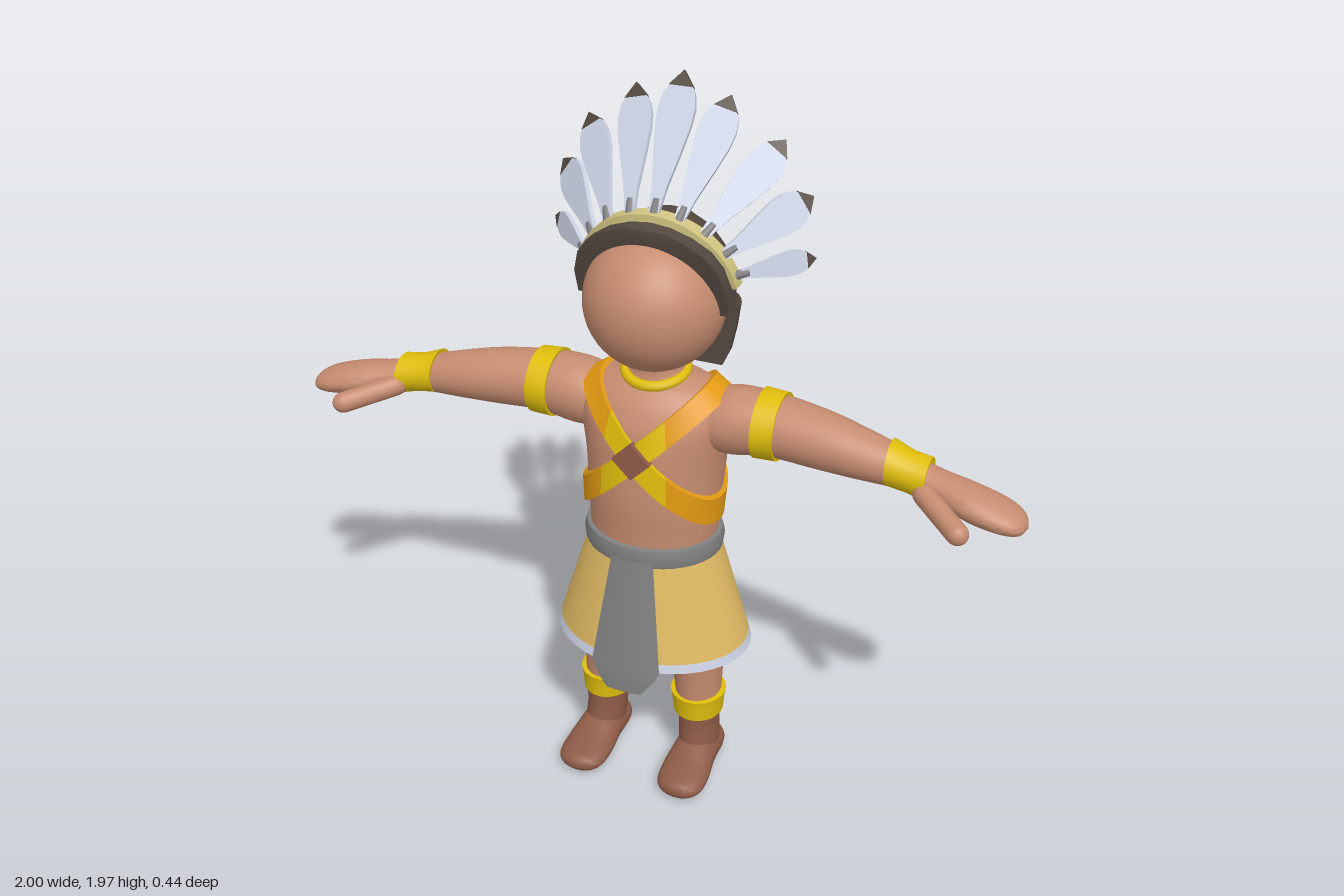
import * as THREE from 'three';
import { toCreasedNormals } from 'three/addons/utils/BufferGeometryUtils.js';

const mat = (name, color, side = THREE.FrontSide) => {
  const m = new THREE.MeshStandardMaterial({ color, side });
  m.name = name;
  return m;
};

// Skin a list of point rings; triangle order is set by the signed volume
function skin(rings, caps = true, crease = 0.8) {
  const n = rings[0].length, pos = [], idx = [];
  rings.forEach(r => r.forEach(p => pos.push(...p)));
  for (let i = 0; i < rings.length - 1; i++) for (let j = 0; j < n; j++) {
    const a = i * n + j, b = i * n + (j + 1) % n;
    idx.push(a, b, a + n, b, b + n, a + n);
  }
  if (caps) [0, rings.length - 1].forEach((ri, end) => {
    const c = pos.length / 3;
    pos.push(...[0, 1, 2].map(k => rings[ri].reduce((s, p) => s + p[k], 0) / n));
    for (let j = 0; j < n; j++) {
      const a = ri * n + j, b = ri * n + (j + 1) % n;
      end ? idx.push(a, b, c) : idx.push(b, a, c);
    }
  });
  const v = i => new THREE.Vector3(pos[i * 3], pos[i * 3 + 1], pos[i * 3 + 2]);
  let vol = 0;
  for (let i = 0; i < idx.length; i += 3) vol += v(idx[i]).dot(v(idx[i + 1]).cross(v(idx[i + 2])));
  if (vol < 0) idx.reverse();
  const g = new THREE.BufferGeometry();
  g.setAttribute('position', new THREE.Float32BufferAttribute(pos, 3));
  g.setIndex(idx);
  return toCreasedNormals(g, crease);
}

// Smooth the rows of a section table with a Catmull-Rom rule
function smooth(rows, steps = 4) {
  const out = [], last = rows.length - 1;
  for (let i = 0; i < last; i++) for (let s = 0; s < steps; s++) {
    const t = s / steps, [p, q, r, w] = [rows[Math.max(i - 1, 0)], rows[i], rows[i + 1], rows[Math.min(i + 2, last)]];
    out.push(q.map((_, k) => 0.5 * (2 * q[k] + (r[k] - p[k]) * t + (2 * p[k] - 5 * q[k] + 4 * r[k] - w[k]) * t * t
      + (3 * q[k] - p[k] - 3 * r[k] + w[k]) * t * t * t)));
  }
  out.push(rows[last]);
  return out;
}

// Elliptic loft; a row is [position on axis, centre a, radius a, centre b, radius b]
function loft(axis, rows, side = 1, caps = true, n = 28) {
  return skin(rows.map(([t, a, ra, b, rb]) => Array.from({ length: n }, (_, j) => {
    const th = j / n * Math.PI * 2, u = a + Math.max(ra, 0) * Math.cos(th), v = b + Math.max(rb, 0) * Math.sin(th);
    const p = axis === 'x' ? [t, u, v] : axis === 'y' ? [u, t, v] : [u, v, t];
    return [p[0] * side, p[1], p[2]];
  })), caps);
}

export function createModel() {
  const root = new THREE.Group();
  root.name = 'figure';
  const skinM = mat('skin', 0xc68c70), boot = mat('bootBrown', 0x8f5c48), gold = mat('gold', 0xdfbd0c),
    orange = mat('orange', 0xe39a12), cloth = mat('tanCloth', 0xe0bb64, THREE.DoubleSide),
    grey = mat('grey', 0x808080, THREE.DoubleSide), white = mat('paleBlue', 0xcbd1e3, THREE.DoubleSide),
    dark = mat('darkBrown', 0x544940), cream = mat('cream', 0xd3c683);
  const add = (name, geo, m, parent = root) => {
    const mesh = new THREE.Mesh(geo, m);
    mesh.name = name;
    parent.add(mesh);
    return mesh;
  };

  // Torso and neck
  const body = smooth([
    [0.70, 0, 0.17, 0, 0.145], [0.8, 0, 0.178, -0.005, 0.15], [0.9, 0, 0.184, -0.012, 0.163],
    [1.0, 0, 0.191, -0.02, 0.166], [1.08, 0, 0.205, -0.025, 0.162], [1.13, 0, 0.21, -0.025, 0.15],
    [1.18, 0, 0.195, -0.025, 0.125], [1.215, 0, 0.15, -0.025, 0.095], [1.24, 0, 0.085, -0.02, 0.068],
    [1.32, 0, 0.07, -0.015, 0.065]]);
  add('torso', loft('y', body, 1, true, 40), skinM);

  // Crossed chest straps, each a slanted loop laid on the torso
  const inside = (x, y, z) => {
    const i = body.findIndex(r => r[0] > y);
    if (i < 1) return false;
    const t = (y - body[i - 1][0]) / (body[i][0] - body[i - 1][0]);
    const [, , rx, zc, rz] = body[i].map((v, k) => v * t + body[i - 1][k] * (1 - t));
    return (x / rx) ** 2 + ((z - zc) / rz) ** 2 < 1;
  };
  const onBody = (th, slope, off, lift) => {
    const at = r => [r * Math.cos(th), 1.05 + off + slope * r * Math.cos(th), -0.022 + r * Math.sin(th)];
    let lo = 0, hi = 0.4;
    for (let k = 0; k < 30; k++) {
      const mid = (lo + hi) / 2;
      inside(...at(mid)) ? lo = mid : hi = mid;
    }
    return at(lo + lift);
  };
  [1, -1].forEach(s => [[-61, 61, orange], [61, 119, gold], [119, 241, orange], [241, 299, gold]].forEach(([a, b, m]) => {
    const rings = [];
    for (let i = 0; i <= 20; i++) {
      const th = THREE.MathUtils.degToRad(a + (b - a) * i / 20), up = s > 0 ? 0.014 : 0.01;
      rings.push([[0.04, up], [-0.04, up], [-0.04, -0.015], [0.04, -0.015]].map(([o, l]) => onBody(th, 0.95 * s, o, l)));
    }
    add(s > 0 ? 'leftStrap' : 'rightStrap', skin(rings), m);
  }));
  const clasp = add('strapClasp', new THREE.BoxGeometry(0.075, 0.075, 0.02), boot);
  clasp.position.set(0, 1.05, 0.151);
  clasp.rotation.z = Math.PI / 4;

  // Necklace
  const necklace = add('necklace', new THREE.TorusGeometry(0.08, 0.014, 10, 36), gold);
  necklace.position.set(0, 1.242, -0.015);
  necklace.rotation.x = Math.PI / 2 + 0.2;

  // Belt, skirt, hem and front flap
  add('belt', loft('y', [[0.728, 0, 0.175, -0.005, 0.15], [0.73, 0, 0.19, -0.005, 0.164], [0.757, 0, 0.194, -0.005, 0.169],
    [0.782, 0, 0.188, -0.005, 0.162], [0.785, 0, 0.17, -0.005, 0.145]], 1, true, 40), grey);
  const hemTop = [0.45, 0, 0.271, -0.004, 0.209];
  add('skirt', loft('y', [[0.75, 0, 0.18, -0.005, 0.157], hemTop], 1, false, 40), cloth);
  add('skirtHem', loft('y', [hemTop, [0.425, 0, 0.279, -0.004, 0.215]], 1, false, 40), white);
  const flap = new THREE.PlaneGeometry(2, 1, 8, 16), fp = flap.attributes.position;
  for (let i = 0; i < fp.count; i++) {
    const y = 0.55 + 0.39 * fp.getY(i), k = (0.75 - y) / 0.325;
    const w = y > 0.42 ? 0.06 + (0.745 - y) * 0.123 : 0.1 - (0.42 - y) * 0.77, x = fp.getX(i) * w;
    const rx = 0.18 + 0.099 * k, rz = 0.157 + 0.058 * Math.min(k, 1.1);
    fp.setXYZ(i, x, y, rz * Math.sqrt(1 - (x / rx) ** 2) + 0.004);
  }
  flap.computeVertexNormals();
  add('frontFlap', flap, grey);

  // Arms and legs, mirrored
  [1, -1].forEach(s => {
    const limb = new THREE.Group();
    limb.name = s > 0 ? 'leftLimbs' : 'rightLimbs';
    root.add(limb);
    add('arm', loft('x', smooth([
      [0.08, 1.12, 0.05, -0.03, 0.06], [0.15, 1.12, 0.078, -0.03, 0.085], [0.22, 1.126, 0.092, -0.03, 0.093],
      [0.32, 1.132, 0.083, -0.03, 0.087], [0.45, 1.125, 0.077, -0.018, 0.08], [0.55, 1.115, 0.067, -0.008, 0.07],
      [0.66, 1.1, 0.053, 0, 0.053], [0.72, 1.09, 0.044, 0.01, 0.048], [0.78, 1.08, 0.041, 0.022, 0.053],
      [0.86, 1.067, 0.043, 0.04, 0.066], [0.94, 1.05, 0.036, 0.045, 0.064], [0.985, 1.04, 0.022, 0.048, 0.042],
      [1.0, 1.036, 0, 0.05, 0]]), s), skinM, limb);
    const thumb = new THREE.CapsuleGeometry(0.03, 0.15, 8, 16).scale(1, 1, 0.95);
    const dir = new THREE.Vector3(0.15 * s, -0.035, 0.14).normalize();
    thumb.applyQuaternion(new THREE.Quaternion().setFromUnitVectors(new THREE.Vector3(0, 1, 0), dir));
    add('thumb', thumb.translate(0.795 * s, 1.06, 0.11), skinM, limb);
    add('armBand', loft('x', [[0.287, 1.132, 0.075, -0.03, 0.08], [0.285, 1.132, 0.093, -0.03, 0.098],
      [0.345, 1.132, 0.09, -0.028, 0.094], [0.343, 1.132, 0.07, -0.028, 0.075]], s), gold, limb);
    add('bracelet', loft('x', [[0.637, 1.11, 0.04, -0.002, 0.045], [0.635, 1.11, 0.06, -0.002, 0.063],
      [0.69, 1.098, 0.053, 0.005, 0.057], [0.74, 1.09, 0.056, 0.012, 0.06], [0.738, 1.09, 0.035, 0.012, 0.04]], s), gold, limb);

    add('leg', loft('y', smooth([[0.74, 0.085, 0.08, 0, 0.115], [0.6, 0.1, 0.088, -0.005, 0.12],
      [0.43, 0.125, 0.079, -0.01, 0.112], [0.32, 0.135, 0.069, 0, 0.084], [0.22, 0.14, 0.062, 0.005, 0.07]]), s), skinM, limb);
    add('anklet', loft('y', [[0.257, 0.139, 0.06, 0.005, 0.065], [0.255, 0.139, 0.078, 0.005, 0.083],
      [0.232, 0.139, 0.074, 0.005, 0.079], [0.188, 0.14, 0.07, 0.005, 0.077], [0.187, 0.14, 0.05, 0.005, 0.06]], s), gold, limb);
    add('bootShaft', loft('y', smooth([[0.22, 0.143, 0.061, 0.005, 0.07], [0.14, 0.143, 0.057, 0.005, 0.068],
      [0.08, 0.146, 0.056, 0.008, 0.072], [0.03, 0.147, 0.05, 0.005, 0.07]]), s), boot, limb);
    add('bootFoot', loft('z', smooth([[-0.08, 0.147, 0, 0.045, 0], [-0.07, 0.147, 0.042, 0.045, 0.036],
      [-0.03, 0.147, 0.06, 0.05, 0.05], [0.05, 0.148, 0.063, 0.053, 0.053], [0.12, 0.15, 0.07, 0.042, 0.039],
      [0.18, 0.152, 0.067, 0.036, 0.03], [0.212, 0.152, 0.045, 0.034, 0.022], [0.225, 0.152, 0, 0.034, 0]]), s), boot, limb);
  });

  // Head, with hair as stacked half-round sections [y, half width, front z, back z]
  add('head', new THREE.SphereGeometry(0.184, 40, 28).translate(0, 1.44, -0.005), skinM);
  const hair = [[1.255, 0.162, -0.065, -0.165], [1.3, 0.182, -0.065, -0.185], [1.36, 0.194, -0.065, -0.203],
    [1.42, 0.201, -0.065, -0.215], [1.435, 0.203, 0.014, -0.217], [1.5, 0.205, 0.032, -0.218], [1.56, 0.187, 0.049, -0.207],
    [1.6, 0.158, 0.06, -0.188], [1.632, 0.11, 0.068, -0.155], [1.652, 0.055, 0.068, -0.11], [1.658, 0.01, 0.04, -0.06]];
  add('hair', skin(hair.map(([y, w, f, b]) => Array.from({ length: 25 }, (_, j) => {
    const a = j / 24 * Math.PI;
    return [w * Math.cos(a), y, f + (b - f) * Math.max(Math.sin(a), 0) ** 0.85];
  }))), dark);

  // Headband arch over the hair
  const arch = (a, out = 0) => new THREE.Vector3((0.205 + out) * Math.cos(a), 1.47 + (0.195 + out) * Math.sin(a), -0.04 + 0.045 * Math.sin(a));
  add('headband', skin(Array.from({ length: 33 }, (_, i) => {
    const a = 0.15 + (Math.PI - 0.3) * i / 32;
    return [[0.012, 0.022], [0.012, -0.022], [-0.02, -0.022], [-0.02, 0.022]].map(([r, z]) => {
      const p = arch(a, r);
      return [p.x, p.y, p.z + z];
    });
  })), cream);

  // Fan of feathers: [angle on the band, tip x, tip y, tip z, half width]
  const plate = (pts, depth) => new THREE.ExtrudeGeometry(
    new THREE.Shape(pts.map(p => new THREE.Vector2(...p))), { depth, bevelEnabled: false }).translate(0, 0, -depth / 2);
  const feather = (deg, x, y, z, w) => {
    const a = THREE.MathUtils.degToRad(deg), base = arch(a), d = new THREE.Vector3(x, y, z).sub(base), L = d.length();
    d.normalize();
    const across = new THREE.Vector3(Math.sin(a), -Math.cos(a), 0);
    across.addScaledVector(d, -across.dot(d)).normalize();
    const g = new THREE.Group();
    g.name = 'feather';
    g.applyMatrix4(new THREE.Matrix4().makeBasis(across, d, across.clone().cross(d)).setPosition(base));
    root.add(g);
    const edge = [[0.25, 0], [0.4, 0.2], [0.75, 0.45], [0.97, 0.63], [1, 0.75], [0.85, 0.84], [0.6, 0.9]].map(([u, v]) => [u * w, v * L]);
    add('featherVane', plate([...edge, ...edge.map(([u, v]) => [-u, v]).reverse()], 0.012), white, g);
    add('featherTip', plate([[0.68 * w, 0.89 * L], [0, L], [-0.68 * w, 0.89 * L]], 0.014), dark, g);
    add('featherQuill', new THREE.CylinderGeometry(0.01, 0.014, 0.05, 8).translate(0, 0.02, 0), grey, g);
  };
  feather(90, 0, 1.97, -0.2, 0.048);
  [[72, 0.125, 1.925, -0.195, 0.047], [53, 0.262, 1.825, -0.21, 0.048], [34, 0.338, 1.69, -0.212, 0.048],
    [17, 0.357, 1.535, -0.195, 0.032]].forEach(([a, x, y, z, w]) => {
    feather(a, x, y, z, w);
    feather(180 - a, -x, y, z, w);
  });
  return root;
}
